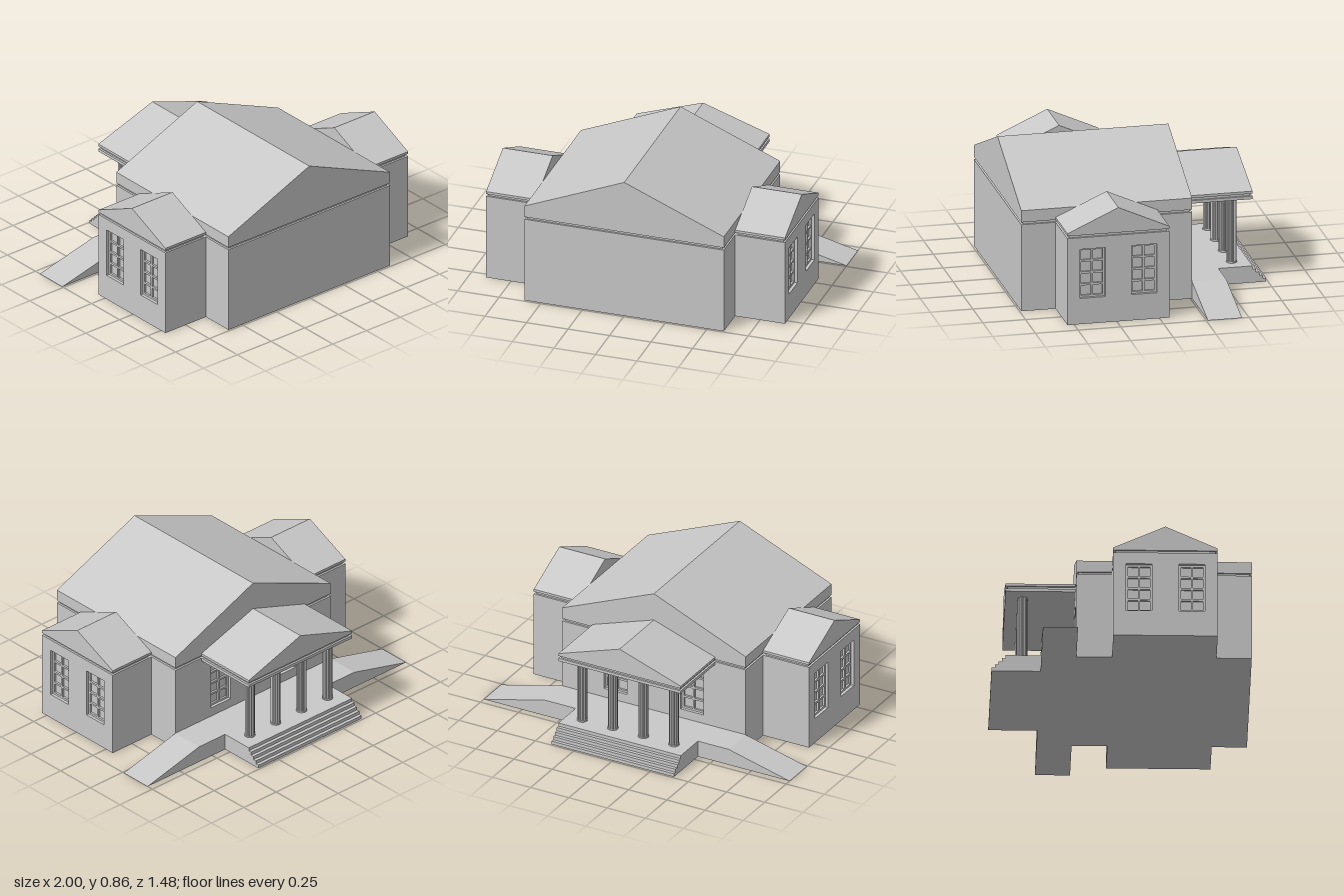
import * as THREE from 'three';

const stone = new THREE.MeshStandardMaterial({ color: 0xc8c8c8 });
stone.name = 'pale grey stone';

const WALL_TOP = 0.52, CORNICE = 0.535, RECESS = 0.03;
const WIN = { w: 0.15, y0: 0.155, y1: 0.45 };

function add(parent, name, geometry, x = 0, y = 0, z = 0) {
  const mesh = new THREE.Mesh(geometry, stone);
  mesh.name = name;
  mesh.position.set(x, y, z);
  parent.add(mesh);
  return mesh;
}

// Box given by its width, bottom, top, near z and far z
function block(parent, name, w, y0, y1, z0, z1, x = 0) {
  return add(parent, name, new THREE.BoxGeometry(w, y1 - y0, z1 - z0), x, (y0 + y1) / 2, (z0 + z1) / 2);
}

function polygon(points) {
  return new THREE.Shape(points.map(([x, y]) => new THREE.Vector2(x, y)));
}

function prism(points, depth) {
  return new THREE.ExtrudeGeometry(polygon(points), { depth, bevelEnabled: false });
}

function rectPoints(x0, x1, y0, y1) {
  return [[x0, y0], [x1, y0], [x1, y1], [x0, y1]];
}

// Gable roof with a vertical cornice edge; its ridge runs along z
function gableRoof(parent, w, d, eave, peak) {
  const h = w / 2;
  add(parent, 'gableRoof', prism([[-h, CORNICE], [h, CORNICE], [h, eave], [0, peak], [-h, eave]], d));
}

// Glazing bars set back in a window opening
function glazingBars(parent, x, z) {
  const t = 0.012, depth = 0.012, { w, y0, y1 } = WIN;
  for (const i of [-1, 0, 1]) {
    block(parent, 'windowUpright', t, y0, y1, z, z + depth, x + i * (w - t) / 2);
  }
  const rows = 4;
  for (let r = 0; r <= rows; r++) {
    const y = y0 + t / 2 + (r / rows) * (y1 - y0 - t);
    block(parent, 'windowCrossbar', w, y - t / 2, y + t / 2, z, z + depth, x);
  }
}

// Building volume running from z = 0 outward to z = d, windows in its outer wall
function hall(name, w, d, eave, peak, windows) {
  const g = new THREE.Group();
  g.name = name;
  block(g, 'walls', w, 0, WALL_TOP, 0, d - RECESS);
  const facade = polygon(rectPoints(-w / 2, w / 2, 0, WALL_TOP));
  for (const x of windows) {
    facade.holes.push(polygon(rectPoints(x - WIN.w / 2, x + WIN.w / 2, WIN.y0, WIN.y1).reverse()));
    glazingBars(g, x, d - RECESS);
  }
  add(g, 'windowWall', new THREE.ExtrudeGeometry(facade, { depth: RECESS, bevelEnabled: false }), 0, 0, d - RECESS);
  block(g, 'recessedBand', w - 0.024, WALL_TOP, CORNICE, 0.012, d - 0.012);
  gableRoof(g, w, d, eave, peak);
  return g;
}

// Fluted column shaft
function columnGeometry(height) {
  const points = [];
  const flutes = 12;
  for (let i = 0; i < flutes * 2; i++) {
    const a = (i / (flutes * 2)) * Math.PI * 2;
    const r = i % 2 ? 0.025 : 0.029;
    points.push([Math.cos(a) * r, Math.sin(a) * r]);
  }
  return prism(points, height).rotateX(-Math.PI / 2);
}

// Entrance porch, built outward along +z from the wall
function porch() {
  const g = new THREE.Group();
  g.name = 'porch';
  const w = 0.8, d = 0.4, floor = 0.1, ceiling = 0.502;

  // floor and steps as one side profile
  const profile = [[0, 0], [d + 0.08, 0]];
  for (let i = 0; i < 4; i++) {
    const z = d + 0.08 - i * 0.02, y = (i + 1) * 0.02;
    profile.push([z, y], [z - 0.02, y]);
  }
  profile.push([d, floor], [0, floor]);
  const steps = add(g, 'floorAndSteps', prism(profile, w), -w / 2);
  steps.rotation.y = -Math.PI / 2;
  steps.position.x = w / 2;

  for (const x of [-0.3, -0.1, 0.1, 0.3]) {
    add(g, 'column', columnGeometry(ceiling - floor), x, floor, 0.3);
    add(g, 'columnBase', new THREE.CylinderGeometry(0.031, 0.031, 0.008, 24), x, floor + 0.004, 0.3);
  }

  // beam, recessed band and pediment
  block(g, 'beam', w, ceiling, WALL_TOP, 0, d);
  block(g, 'recessedBand', w - 0.024, WALL_TOP, CORNICE, 0, d - 0.012);
  gableRoof(g, w, d, 0.55, 0.685);

  // side ramps with a level landing
  const ramp = [[0.4, 0], [1, 0], [0.6, floor], [0.4, floor]];
  add(g, 'ramp', prism(ramp, 0.2));
  add(g, 'ramp', prism(ramp.map(([x, y]) => [-x, y]).reverse(), 0.2));
  return g;
}

export function createModel() {
  const model = new THREE.Group();
  model.name = 'columnedHall';

  const main = hall('mainHall', 1.2, 1, 0.605, 0.855, [-0.25, 0.25]);
  main.rotation.y = Math.PI;
  main.position.z = 0.74;
  model.add(main);

  for (const side of [-1, 1]) {
    const wing = hall(side > 0 ? 'leftWing' : 'rightWing', 0.596, 0.3, 0.55, 0.685, [-0.151, 0.151]);
    wing.rotation.y = side * Math.PI / 2;
    wing.position.set(side * 0.6, 0, 0.241);
    model.add(wing);
  }

  const entrance = porch();
  entrance.rotation.y = Math.PI;
  entrance.position.z = -0.26;
  model.add(entrance);
  return model;
}
